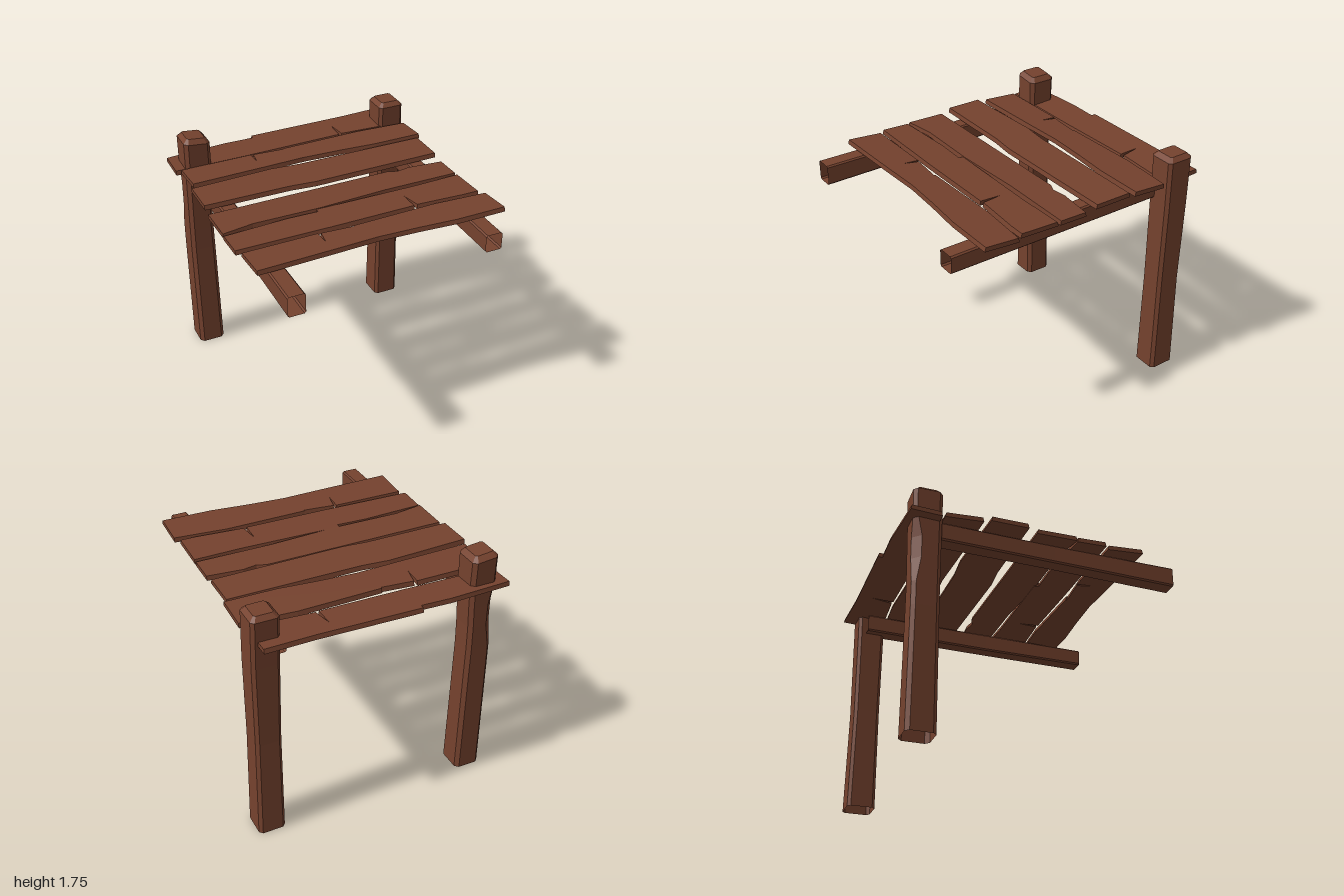
import * as THREE from 'three';

// Flat-shaded tube through chamfered rectangular sections.
// section: [height, x0, x1, z0, z1, chamfer, notch on the x0/z0 corner]
function loft(sections, slope = 0, capTop = false) {
  const rings = sections.map(([y, x0, x1, z0, z1, c, notch = 0], i) => {
    const n = c + notch, s = i >= sections.length - 2 ? slope : 0, mid = (x0 + x1) / 2;
    return [[x0 + n, z0], [x0, z0 + n], [x0, z1 - c], [x0 + c, z1],
      [x1 - c, z1], [x1, z1 - c], [x1, z0 + c], [x1 - c, z0]]
      .map(([x, z]) => [x, y + s * (x - mid), z]);
  });
  const pos = [];
  for (let r = 0; r < rings.length - 1; r++) {
    for (let i = 0; i < 8; i++) {
      const j = (i + 1) % 8;
      const a = rings[r][i], b = rings[r][j], c = rings[r + 1][j], d = rings[r + 1][i];
      pos.push(...a, ...b, ...c, ...a, ...c, ...d);
    }
  }
  if (capTop) {
    const top = rings[rings.length - 1];
    for (let i = 1; i < 7; i++) pos.push(...top[0], ...top[i], ...top[i + 1]);
  }
  const geo = new THREE.BufferGeometry();
  geo.setAttribute('position', new THREE.Float32BufferAttribute(pos, 3));
  geo.computeVertexNormals();
  return geo;
}

// Board cut from an [x, z] outline, narrowed at the top and tilted a little.
function board(outline, zOffset, y0, tiltX, tiltZ, thick = 0.032) {
  const shape = new THREE.Shape(outline.map(([x, z]) => new THREE.Vector2(x, -z)));
  const geo = new THREE.ExtrudeGeometry(shape, { depth: thick, bevelEnabled: false });
  geo.rotateX(-Math.PI / 2);
  const zs = outline.map((p) => p[1]);
  const mid = (Math.min(...zs) + Math.max(...zs)) / 2;
  const p = geo.attributes.position;
  for (let i = 0; i < p.count; i++) {
    const x = p.getX(i), y = p.getY(i);
    const dz = (p.getZ(i) - mid) * (y > thick / 2 ? 0.94 : 1);
    p.setXYZ(i, x, y0 + y + tiltX * x + tiltZ * dz, mid + dz + zOffset);
  }
  geo.computeVertexNormals();
  return geo;
}

// Plank outlines: back edge left to right, then front edge right to left
const splitFront = [[-0.9, -0.95], [-0.45, -0.975], [-0.23, -0.967], [-0.23, -1], [0.5, -0.99], [0.85, -1],
  [0.85, -0.71], [0.74, -0.71], [0.395, -0.735], [0.372, -0.89], [0.37, -0.73], [-0.23, -0.727], [-0.9, -0.735]];
const splitBack = [[-0.87, -0.71], [-0.35, -0.712], [-0.35, -0.585], [-0.33, -0.706], [-0.1, -0.685],
  [-0.1, -0.695], [0.5, -0.71], [0.88, -0.68], [0.88, -0.425], [0.52, -0.425], [0.25, -0.45],
  [-0.03, -0.467], [-0.35, -0.455], [-0.87, -0.44]];
const plain = [[-0.9, -0.4], [-0.3, -0.43], [-0.1, -0.41], [0.85, -0.41],
  [0.85, -0.13], [-0.1, -0.112], [-0.28, -0.13], [-0.9, -0.13]];
const chipped = [[-0.9, -0.075], [0.44, -0.088], [0.5, -0.06], [0.6, -0.078], [0.85, -0.052],
  [0.85, 0.155], [0.3, 0.155], [-0.2, 0.185], [-0.68, 0.18], [-0.9, 0.22]];

export function createModel() {
  const model = new THREE.Group();
  const wood = new THREE.MeshStandardMaterial({ color: 0x75422e, side: THREE.DoubleSide });
  wood.name = 'brown wood';
  const add = (name, geo) => {
    const mesh = new THREE.Mesh(geo, wood);
    mesh.name = name;
    model.add(mesh);
  };

  // Posts, open underneath, with bevelled tops; the right one has a gouged corner
  add('rightPost', loft([
    [0, -0.83, -0.64, -0.91, -0.71, 0.026],
    [0.85, -0.835, -0.652, -0.905, -0.715, 0.026],
    [1.02, -0.834, -0.655, -0.905, -0.715, 0.026],
    [1.2, -0.833, -0.652, -0.907, -0.714, 0.026, 0.03],
    [1.36, -0.832, -0.645, -0.908, -0.712, 0.026, 0.03],
    [1.53, -0.831, -0.64, -0.91, -0.71, 0.026],
    [1.71, -0.83, -0.64, -0.915, -0.71, 0.026],
    [1.743, -0.8, -0.67, -0.88, -0.74, 0.012],
  ], -0.1, true));
  add('leftPost', loft([
    [0, 0.7, 0.89, -0.91, -0.71, 0.022],
    [0.75, 0.705, 0.885, -0.9, -0.713, 0.022],
    [1.35, 0.702, 0.893, -0.905, -0.71, 0.022],
    [1.69, 0.7, 0.89, -0.91, -0.71, 0.022],
    [1.72, 0.73, 0.86, -0.88, -0.74, 0.012],
  ], 0, true));

  // Beams running forward from the posts, open at the ends
  const beam = (x0, x1, front, low, high) => loft([
    [-0.85, x0, x1, -1.515, -1.385, 0.01],
    [0.1, x0 + 0.004, x1 - 0.004, -1.51, -1.378, 0.01],
    [front, x0, x1, -high, -low, 0.01],
  ]).rotateX(Math.PI / 2);
  add('rightBeam', beam(-0.79, -0.67, 1, 1.368, 1.512));
  add('leftBeam', beam(0.642, 0.762, 0.91, 1.38, 1.505));

  // Six roof planks, from back to front
  [
    [splitFront, 0, 1.507, 0.014, -0.04],
    [splitBack, 0, 1.526, 0.006, 0.07],
    [plain, 0, 1.53, 0, 0],
    [chipped, 0, 1.506, 0.002, 0.02],
    [splitFront, 1.17, 1.51, 0.008, 0.04],
    [splitBack, 1.17, 1.524, 0.008, 0.08],
  ].forEach((args, i) => add(`plank${i + 1}`, board(...args)));

  return model;
}
